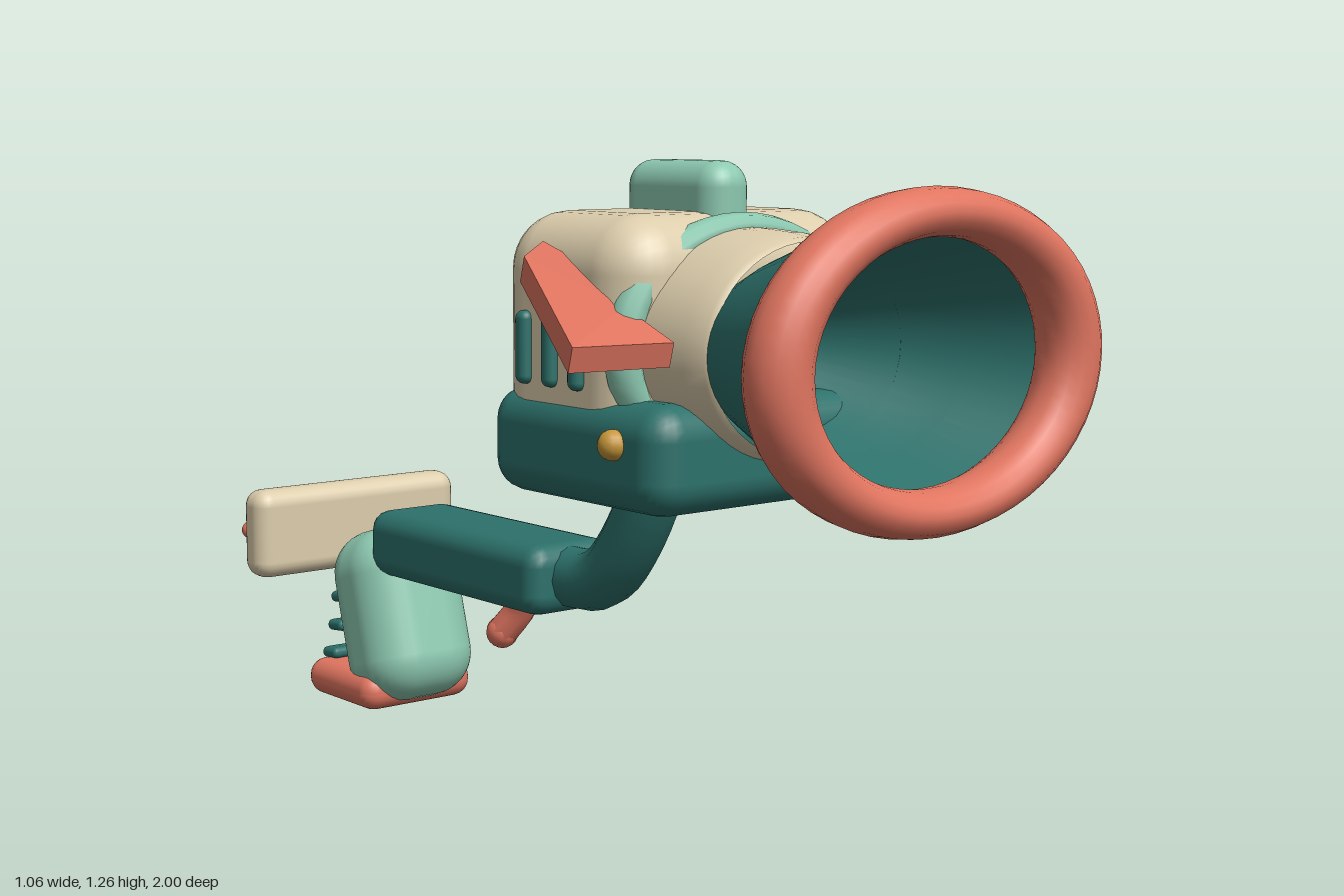
import * as THREE from 'three';
import { RoundedBoxGeometry } from 'three/addons/geometries/RoundedBoxGeometry.js';

export function createModel() {
  const model = new THREE.Group();
  model.name = 'hornMachine';

  const paint = (name, color, side = THREE.FrontSide) => {
    const m = new THREE.MeshStandardMaterial({ color, side });
    m.name = name;
    return m;
  };
  const coral = paint('coral', 0xe07560, THREE.DoubleSide);
  const teal = paint('teal', 0x2d716b, THREE.DoubleSide);
  const cream = paint('cream', 0xdccdac, THREE.DoubleSide);
  const mint = paint('mint', 0x8cc8b0);
  const gold = paint('gold', 0xc6963a);

  const add = (name, geometry, material, x = 0, y = 0, z = 0) => {
    const mesh = new THREE.Mesh(geometry, material);
    mesh.name = name;
    mesh.position.set(x, y, z);
    model.add(mesh);
    return mesh;
  };
  const box = (name, material, [w, h, d], [x, y, z], r, seg = 3) =>
    add(name, new RoundedBoxGeometry(w, h, d, seg, r), material, x, y, z);
  const ball = (name, material, r, x, y, z) =>
    add(name, new THREE.SphereGeometry(r, 14, 10), material, x, y, z);
  // Elliptical shell turned around the z axis; profile is [radius, z]
  const shell = (name, material, profile, squash) => {
    const pts = profile.map(([r, z]) => new THREE.Vector2(r, z));
    const mesh = add(name, new THREE.LatheGeometry(pts, 48), material, 0, 0.92, 0);
    mesh.rotation.x = Math.PI / 2;
    mesh.scale.z = squash;
    return mesh;
  };
  const tube = (name, material, points, r, sides) => {
    const curve = new THREE.CatmullRomCurve3(points.map(p => new THREE.Vector3(...p)));
    return add(name, new THREE.TubeGeometry(curve, 16, r, sides), material);
  };

  // Horn with its rim, neck and collar
  add('hornRim', new THREE.TorusGeometry(0.36, 0.06, 16, 56), coral, 0, 0.92, 0.94).scale.y = 0.725;
  shell('horn', teal, [[0.155, 0.485], [0.245, 0.635], [0.3, 0.75], [0.37, 0.9]], 0.725);
  shell('hornNeck', cream, [[0.262, 0.4], [0.262, 0.5], [0.256, 0.58], [0.248, 0.628], [0.238, 0.638]], 0.83);
  add('collar', new THREE.TorusGeometry(0.28, 0.036, 10, 48), mint, 0, 0.92, 0.445).scale.y = 0.775;

  // Head housing
  box('housing', cream, [0.61, 0.47, 0.42], [0, 0.93, 0.28], 0.11, 4);
  box('housingBase', teal, [0.645, 0.205, 0.525], [0, 0.7275, 0.333], 0.065, 3);
  box('handle', mint, [0.11, 0.16, 0.28], [0, 1.18, 0.295], 0.05, 4);

  // Folded ear: a bent strip with thickness, flat faceted
  const earGeometry = side => {
    const rows = [
      [[0.25, 1.07, 0.29], [0.34, 1.115, 0.285]],
      [[0.26, 1.0, 0.42], [0.5, 1.1, 0.44]],
      [[0.27, 0.945, 0.575], [0.53, 0.955, 0.615]],
    ];
    const section = ([i, o]) => [
      i, o, [o[0], o[1] - 0.045, o[2] - 0.012], [i[0], i[1] - 0.045, i[2] - 0.012],
    ];
    const verts = [];
    const quad = (a, b, c, d) => {
      const order = side > 0 ? [a, b, c, a, c, d] : [a, c, b, a, d, c];
      order.forEach(p => verts.push(p[0] * side, p[1], p[2]));
    };
    for (let r = 0; r < 2; r++) {
      const s = section(rows[r]), t = section(rows[r + 1]);
      for (let k = 0; k < 4; k++) {
        const n = (k + 1) % 4;
        quad(s[k], t[k], t[n], s[n]);
      }
    }
    quad(...section(rows[0]));
    quad(...section(rows[2]).reverse());
    const g = new THREE.BufferGeometry();
    g.setAttribute('position', new THREE.Float32BufferAttribute(verts, 3));
    g.computeVertexNormals();
    return g;
  };

  // Ears, vents and knobs on both sides
  for (const side of [1, -1]) {
    const label = side > 0 ? 'left' : 'right';
    add(label + 'Ear', earGeometry(side), coral);
    for (const z of [0.343, 0.263, 0.183]) {
      box(label + 'Vent', teal, [0.04, 0.14, 0.036], [side * 0.304, 0.91, z], 0.016);
    }
    ball(label + 'Knob', gold, 0.029, side * 0.325, 0.755, 0.47);
  }

  // Bent pipe and long arm
  tube('neckPipe', teal, [[0, 0.7, 0.205], [0, 0.6, 0.19], [0, 0.43, 0.075],
    [0, 0.395, 0.01], [0, 0.39, -0.1]], 0.065, 12);
  box('arm', teal, [0.225, 0.15, 0.635], [0, 0.387, -0.368], 0.045, 2);

  // Leaning rear body on its foot
  box('rearBody', mint, [0.274, 0.4, 0.24], [0, 0.205, -0.705], 0.1, 4).rotation.x = -0.28;
  box('foot', coral, [0.296, 0.085, 0.275], [0, 0.0425, -0.765], 0.04);
  [[0.235, -0.825], [0.165, -0.84], [0.095, -0.865]].forEach(([y, z]) => {
    box('rearFin', teal, [0.21, 0.026, 0.06], [0, y, z], 0.012, 2).rotation.x = -0.1;
  });

  // Rear panel with its dark plate and two buttons
  box('rearPanel', cream, [0.55, 0.205, 0.092], [0, 0.388, -0.92], 0.038);
  box('rearPlate', teal, [0.47, 0.125, 0.04], [0, 0.388, -0.98], 0.012, 2);
  ball('goldButton', gold, 0.02, 0.24, 0.388, -0.98);
  ball('coralButton', coral, 0.02, -0.24, 0.388, -0.98);

  // Small hooked lever beside the arm
  const lever = [[0.15, 0.365, -0.475], [0.175, 0.355, -0.48], [0.198, 0.275, -0.495],
    [0.203, 0.22, -0.52], [0.18, 0.16, -0.56]];
  tube('lever', coral, lever, 0.038, 8);
  for (const end of [lever[0], lever[4]]) ball('leverEnd', coral, 0.038, ...end);

  return model;
}
